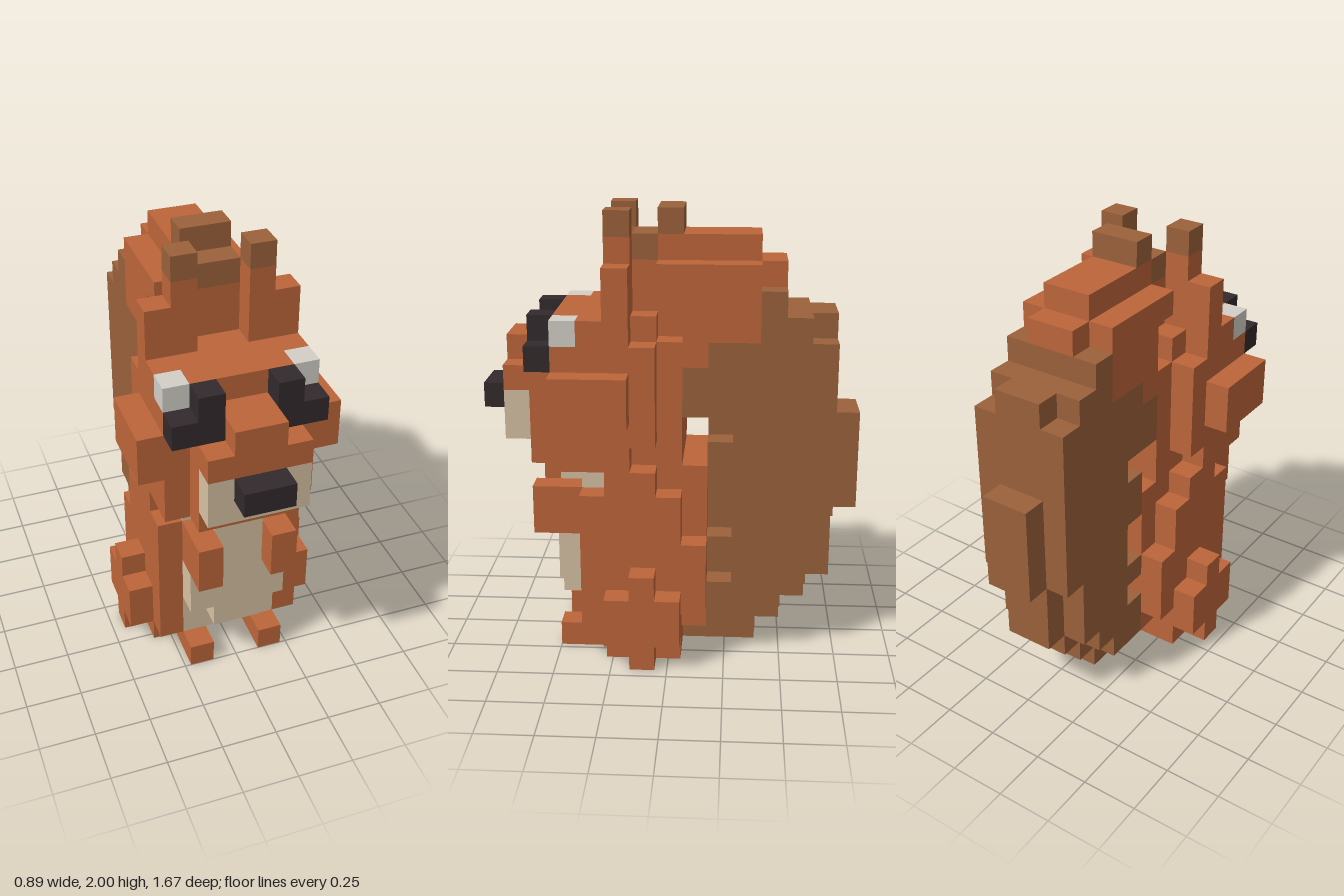
import * as THREE from 'three';

const U = 1 / 9; // size of one block

export function createModel() {
  const model = new THREE.Group();
  model.name = 'blockSquirrel';
  const mat = (name, color) => {
    const m = new THREE.MeshStandardMaterial({ color });
    m.name = name;
    return m;
  };
  const fur = mat('rustFur', 0xbd653a);
  const brown = mat('brownFur', 0x9b613b);
  const cream = mat('creamFur', 0xd7c1a4);
  const dark = mat('darkBlack', 0x322a2c);
  const grey = mat('lightGrey', 0xd3cfc7);

  // Box from block coordinates: x, y and z ranges
  const box = (name, m, x0, x1, y0, y1, z0, z1) => {
    const geo = new THREE.BoxGeometry((x1 - x0) * U, (y1 - y0) * U, (z1 - z0) * U);
    const mesh = new THREE.Mesh(geo, m);
    mesh.position.set((x0 + x1) * U / 2, (y0 + y1) * U / 2, (z0 + z1) * U / 2);
    mesh.name = name;
    model.add(mesh);
  };
  // Box centred on x = 0 with half width w
  const mid = (name, m, w, ...r) => box(name, m, -w, w, ...r);
  // Mirrored pair of boxes
  const pair = (name, m, x0, x1, ...r) => {
    box(name + 'Left', m, x0, x1, ...r);
    box(name + 'Right', m, -x1, -x0, ...r);
  };

  // Body and neck
  mid('body', fur, 2, 1, 8, -1.5, 2.5);
  pair('flank', fur, 2, 3, 1, 7, -0.5, 3.5);
  pair('backFlank', fur, 2, 3, 2, 5, -1.5, -0.5);
  pair('shoulder', fur, 2, 3, 7, 8, 0.5, 2.5);

  // Belly
  mid('chest', cream, 2, 1, 8, 2.5, 3.5);
  mid('bellyRound', cream, 2, 3, 5, 3.5, 4.5);
  mid('bellyLower', cream, 1, 2, 3, 3.5, 4.5);
  mid('bellyUpper', cream, 1, 5, 8, 3.5, 4.5);

  // Arms, haunches and feet
  pair('arm', fur, 1, 2, 5, 7, 3.5, 5.5);
  pair('haunch', fur, 3, 4, 1, 3, -0.5, 2.5);
  pair('haunchTop', fur, 3, 4, 3, 4, 0.5, 1.5);
  pair('foot', fur, 1, 2, 0, 1, -0.5, 4.5);
  pair('footMiddle', fur, 2, 3, 0, 1, -0.5, 2.5);
  pair('footOuter', fur, 3, 4, 0, 1, 0.5, 1.5);

  // Head
  mid('head', fur, 3, 9, 13, 0.5, 4.5);
  mid('jaw', fur, 3, 8, 9, 1.5, 4.5);
  mid('headBack', fur, 2, 8, 13, -0.5, 1.5);
  mid('face', fur, 2, 8, 12, 4.5, 5.5);
  mid('faceTop', fur, 1, 12, 13, 4.5, 5.5);
  mid('forehead', fur, 2, 13, 14, 0.5, 4.5);
  pair('temple', fur, 2, 3, 13, 14, 1.5, 3.5);
  pair('cheek', fur, 3, 4, 10, 12, 1.5, 4.5);

  // Muzzle and nose
  mid('muzzle', fur, 2, 11, 12, 5.5, 6.5);
  mid('muzzleBridge', fur, 1, 12, 13, 5.5, 6.5);
  mid('mouth', cream, 2, 9, 11, 5.5, 6.5);
  mid('nose', dark, 1, 10, 11, 6.5, 7.5);

  // Eyes
  pair('eyeLower', dark, 1, 3, 12, 13, 4.5, 5.5);
  pair('eyeUpper', dark, 1, 2, 13, 14, 4.5, 5.5);
  pair('eyeWhite', grey, 2, 3, 13, 14, 3.5, 4.5);

  // Ears
  pair('ear', fur, 1, 2, 14, 17, 1.5, 2.5);
  pair('earTip', brown, 1, 2, 17, 18, 1.5, 2.5);
  pair('earOuter', fur, 2, 3, 14, 16, 1.5, 2.5);

  // Tail: brown bulk, stepped at the back and notched along the front edge
  mid('tailBase', brown, 1, 0, 1, -3.5, -0.5);
  mid('tailLow', brown, 2, 1, 2, -3.5, -1.5);
  mid('tailLowBack', brown, 1, 1, 2, -4.5, -3.5);
  mid('tailLowMiddle', brown, 2, 2, 3, -4.5, -1.5);
  mid('tailLowMiddleBack', brown, 1, 2, 3, -5.5, -4.5);
  mid('tailMain', brown, 2, 3, 13, -5.5, -2.5);
  mid('tailBackLower', brown, 1, 3, 6, -6.5, -5.5);
  mid('tailBack', brown, 2, 6, 13, -6.5, -5.5);
  mid('tailFront', brown, 1, 3, 13, -2.5, -1.5);
  for (const [y0, y1] of [[4, 5], [7, 9], [10, 13]]) {
    pair('tailFrontEdge', brown, 1, 2, y0, y1, -2.5, -1.5);
  }
  mid('tailInner', brown, 2, 10, 12, -1.5, -0.5);
  mid('tailBulge', brown, 1, 6, 10, -7.5, -6.5);
  mid('tailUpperBack', brown, 2, 13, 14, -5.5, -3.5);
  mid('tailUpperRidge', brown, 1, 13, 14, -6.5, -5.5);
  mid('tailShoulder', brown, 2, 14, 15, -4.5, -3.5);

  // Tail: rust curl and brown tip
  mid('tailCurl', fur, 2, 13, 16, -3.5, -0.5);
  mid('tailCurlUnder', fur, 2, 12, 13, -1.5, -0.5);
  mid('tailCurlBack', fur, 1, 15, 16, -4.5, -3.5);
  mid('tailCurlTop', fur, 1, 16, 17, -3.5, 0.5);
  mid('tailCurlFront', fur, 2, 15, 16, -0.5, 0.5);
  mid('tailCurlInner', fur, 1, 13, 16, -0.5, 1.5);
  mid('tailTipTop', brown, 1, 17, 18, -0.5, 0.5);
  mid('tailTipFront', brown, 1, 16, 17, 0.5, 1.5);

  return model;
}
